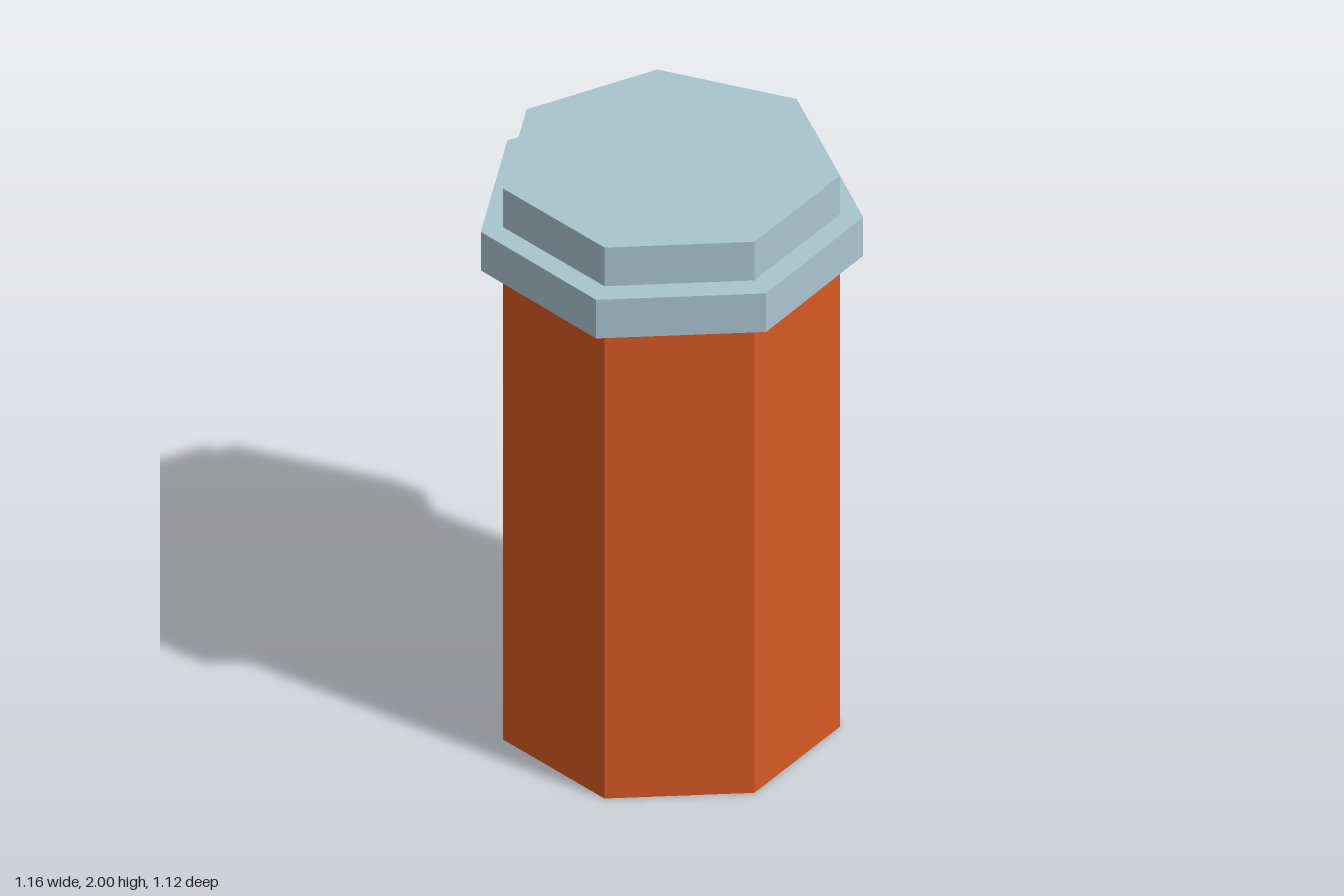
import * as THREE from 'three';

const SIDES = 7;
const BODY = { rx: 0.525, rz: 0.51, cz: 0.0245 };
const RIM = { rx: 0.596, rz: 0.588, cz: 0.028 };

const orange = new THREE.MeshStandardMaterial({ color: 0xd65823 });
orange.name = 'orange plastic';
const blue = new THREE.MeshStandardMaterial({ color: 0xa9c4cf });
blue.name = 'pale blue plastic';
const paper = new THREE.MeshStandardMaterial({ color: 0xd4cdb4 });
paper.name = 'label paper';
const ink = new THREE.MeshStandardMaterial({ color: 0x080808 });
ink.name = 'black ink';

// Seven-sided prism with one corner pointing backwards
function prism(name, size, y0, y1, material) {
  const shape = new THREE.CylinderGeometry(1, 1, y1 - y0, SIDES, 1, false, Math.PI);
  shape.scale(size.rx, 1, size.rz);
  shape.translate(0, (y0 + y1) / 2, size.cz);
  const geometry = shape.toNonIndexed();
  geometry.computeVertexNormals();
  const mesh = new THREE.Mesh(geometry, material);
  mesh.name = name;
  return mesh;
}

// Point on the body wall; u counts faces from the back corner towards -x
function wallPoint(u, y, lift) {
  const corner = (k) => {
    const a = (k * 2 * Math.PI) / SIDES;
    return new THREE.Vector3(-Math.sin(a) * (BODY.rx + lift), y, BODY.cz - Math.cos(a) * (BODY.rz + lift));
  };
  const k = Math.floor(u);
  return corner(k).lerp(corner(k + 1), u - k);
}

// Thin patch with cut corners that folds around the body's edges
function patch(name, u0, u1, y0, y1, lift, cutU, cutY, material) {
  const stops = [u0, u0 + cutU, u1 - cutU, u1];
  for (const edge of [0, 1]) if (edge > u0 + 0.001 && edge < u1 - 0.001) stops.push(edge);
  stops.sort((a, b) => a - b);
  const inset = (u) => cutY * Math.max(0, 1 - Math.min(u - u0, u1 - u) / cutU);
  const points = [];
  for (let i = 0; i < stops.length - 1; i++) {
    const [a, b] = [stops[i], stops[i + 1]];
    if (b - a < 1e-5) continue;
    const p = wallPoint(a, y0 + inset(a), lift);
    const q = wallPoint(b, y0 + inset(b), lift);
    const r = wallPoint(b, y1 - inset(b), lift);
    const s = wallPoint(a, y1 - inset(a), lift);
    points.push(p, q, r, p, r, s);
  }
  const geometry = new THREE.BufferGeometry().setFromPoints(points);
  geometry.computeVertexNormals();
  const mesh = new THREE.Mesh(geometry, material);
  mesh.name = name;
  return mesh;
}

export function createModel() {
  const model = new THREE.Group();
  model.name = 'pillBottle';

  model.add(prism('bottleBody', BODY, 0, 1.72, orange));

  // Cap: wide rim below, narrower top above
  const cap = new THREE.Group();
  cap.name = 'cap';
  cap.add(prism('capRim', RIM, 1.72, 1.86, blue), prism('capTop', BODY, 1.86, 2, blue));
  model.add(cap);

  // Label wrapped around three faces at the back
  const label = new THREE.Group();
  label.name = 'label';
  label.add(patch('labelPaper', -0.63, 1.63, 0.575, 1.43, 0.003, 0.03, 0.012, paper));

  // Printed dashes, row by row: height, then start and end of each dash
  const rows = [
    [1.255, [-0.37, 0.37], [0.5, 0.87], [1.13, 1.38]],
    [1.11, [-0.37, -0.005], [0.125, 0.25], [0.375, 1.38]],
    [0.97, [-0.37, -0.14], [0, 0.5], [0.62, 1], [1.26, 1.38]],
    [0.75, [-0.255, 0.25], [0.375, 0.62], [0.75, 1.25]],
  ];
  for (const [y, ...dashes] of rows) {
    for (const [u0, u1] of dashes) {
      label.add(patch('printedDash', u0, u1, y - 0.034, y + 0.034, 0.006, 0.035, 0.016, ink));
    }
  }
  model.add(label);
  return model;
}
